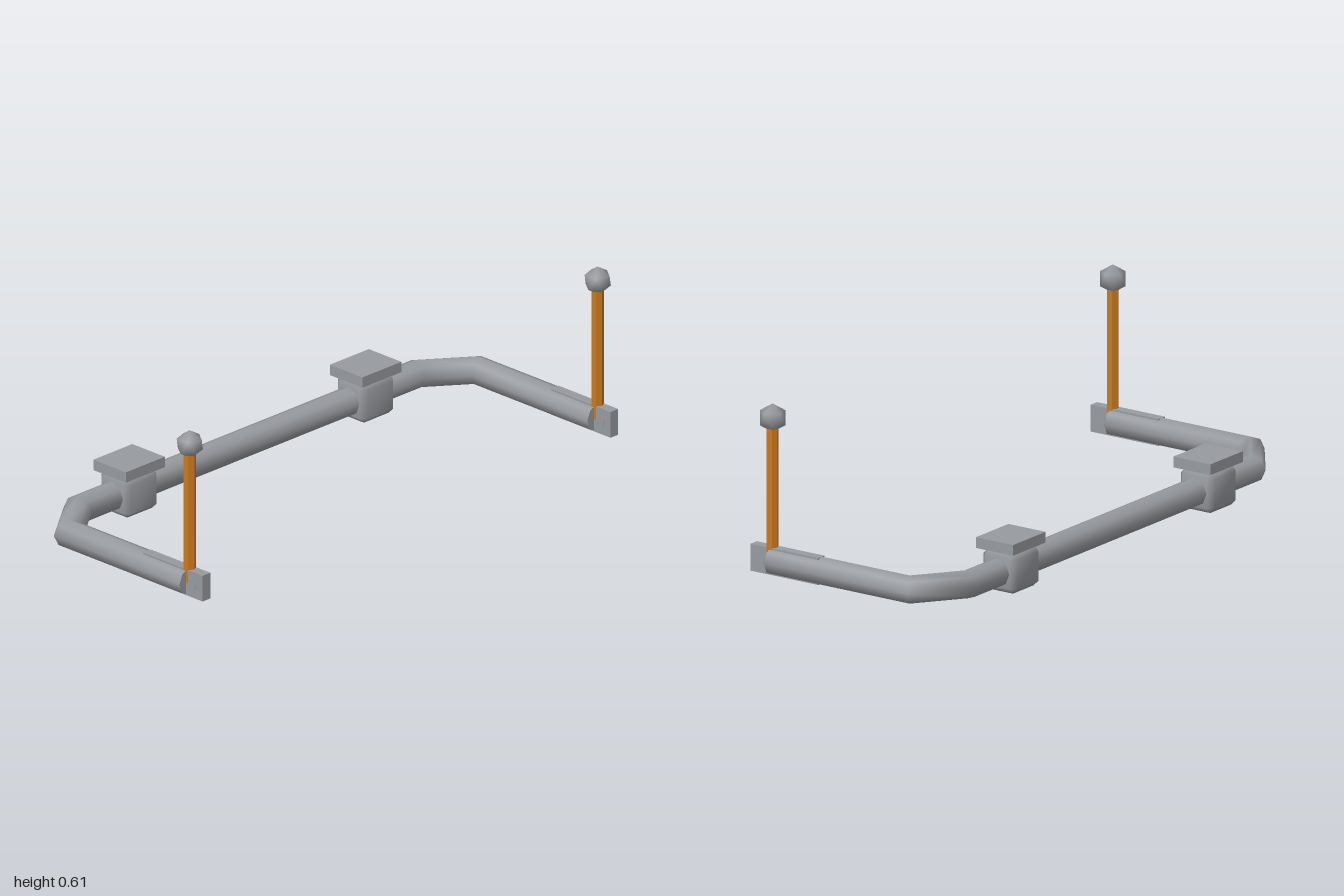
import * as THREE from 'three';
import { mergeVertices } from 'three/addons/utils/BufferGeometryUtils.js';
import { ConvexGeometry } from 'three/addons/geometries/ConvexGeometry.js';

const R = 0.0485, SIDES = 8, BAR_Y = 0.0705, ARM_X = 0.952, END_Z = 0.338, BACK_Z = -0.338;

// Share vertices so the shading runs smoothly over the edges
function smooth(geometry) {
  geometry.deleteAttribute('normal');
  geometry.deleteAttribute('uv');
  const g = mergeVertices(geometry, 1e-4);
  g.computeVertexNormals();
  return g;
}

// Tube along a flat path with mitred bends
function mitredTube(path) {
  const pos = [], index = [];
  path.forEach((p, i) => {
    const before = p.clone().sub(path[Math.max(i - 1, 0)]).normalize();
    const after = path[Math.min(i + 1, path.length - 1)].clone().sub(p).normalize();
    const dir = before.clone().add(after).normalize();
    const ref = i === 0 ? after : before;
    const stretch = R / dir.dot(ref);
    for (let j = 0; j < SIDES; j++) {
      const a = (j / SIDES) * Math.PI * 2;
      const s = Math.cos(a) * stretch;
      pos.push(p.x - dir.y * s, BAR_Y + Math.sin(a) * R, p.y + dir.x * s);
    }
  });
  for (let i = 0; i < path.length - 1; i++) {
    for (let j = 0; j < SIDES; j++) {
      const a = i * SIDES + j, b = i * SIDES + (j + 1) % SIDES;
      index.push(a, b, a + SIDES, b, b + SIDES, a + SIDES);
    }
  }
  const g = new THREE.BufferGeometry();
  g.setAttribute('position', new THREE.Float32BufferAttribute(pos, 3));
  g.setIndex(index);
  g.computeVertexNormals();
  return g;
}

// Box with single chamfers on all edges
function chamferedBox(w, h, d, c) {
  const points = [];
  for (const x of [-1, 1]) for (const y of [-1, 1]) for (const z of [-1, 1]) {
    for (let k = 0; k < 3; k++) {
      points.push(new THREE.Vector3(
        x * (w / 2 - (k === 0 ? 0 : c)),
        y * (h / 2 - (k === 1 ? 0 : c)),
        z * (d / 2 - (k === 2 ? 0 : c))));
    }
  }
  return smooth(new ConvexGeometry(points));
}

export function createModel() {
  const model = new THREE.Group();
  model.name = 'antiRollBar';
  const steel = new THREE.MeshStandardMaterial({ color: 0x979a9f });
  steel.name = 'grey steel';
  steel.side = THREE.DoubleSide;
  const orange = new THREE.MeshStandardMaterial({ color: 0xc87a1e });
  orange.name = 'orange link';
  orange.flatShading = true;

  const add = (name, geometry, material, x, y, z) => {
    const mesh = new THREE.Mesh(geometry, material);
    mesh.name = name;
    mesh.position.set(x, y, z);
    model.add(mesh);
    return mesh;
  };

  // Bent bar
  const half = [[ARM_X, END_Z], [ARM_X, -0.217], [0.79, BACK_Z]];
  const path = [
    ...half.map(([x, z]) => new THREE.Vector2(-x, z)),
    ...half.slice().reverse().map(([x, z]) => new THREE.Vector2(x, z)),
  ];
  add('bentBar', mitredTube(path), steel, 0, 0, 0);

  // Shared shapes for both ends
  const cap = new THREE.CircleGeometry(R, SIDES);
  const endPlate = new THREE.BoxGeometry(0.036, 0.092, 0.275);
  const bolt = new THREE.CylinderGeometry(0.017, 0.017, 0.04, 6).rotateZ(Math.PI / 2);
  const link = new THREE.CylinderGeometry(0.021, 0.021, 0.48, 6);
  const ball = smooth(new THREE.IcosahedronGeometry(0.049)
    .rotateZ(-Math.atan(2 / (1 + Math.sqrt(5)))));
  const bushing = chamferedBox(0.154, 0.138, 0.138, 0.019);
  const bracket = new THREE.BoxGeometry(0.182, 0.037, 0.15);

  for (const [side, s] of [['left', 1], ['right', -1]]) {
    const x = s * ARM_X;
    add(side + 'BarEnd', cap, steel, x, BAR_Y, END_Z);
    add(side + 'EndPlate', endPlate, steel, x, 0.0715, 0.2775);
    add(side + 'Bolt', bolt, steel, x, BAR_Y, 0.37);
    add(side + 'DropLink', link, orange, x, 0.31, END_Z);
    add(side + 'BallJoint', ball, steel, x, 0.56, END_Z);
    // Mounting bushing and the plate above it
    add(side + 'Bushing', bushing, steel, s * 0.552, BAR_Y, BACK_Z);
    add(side + 'Bracket', bracket, steel, s * 0.552, 0.1625, -0.337);
  }
  return model;
}
